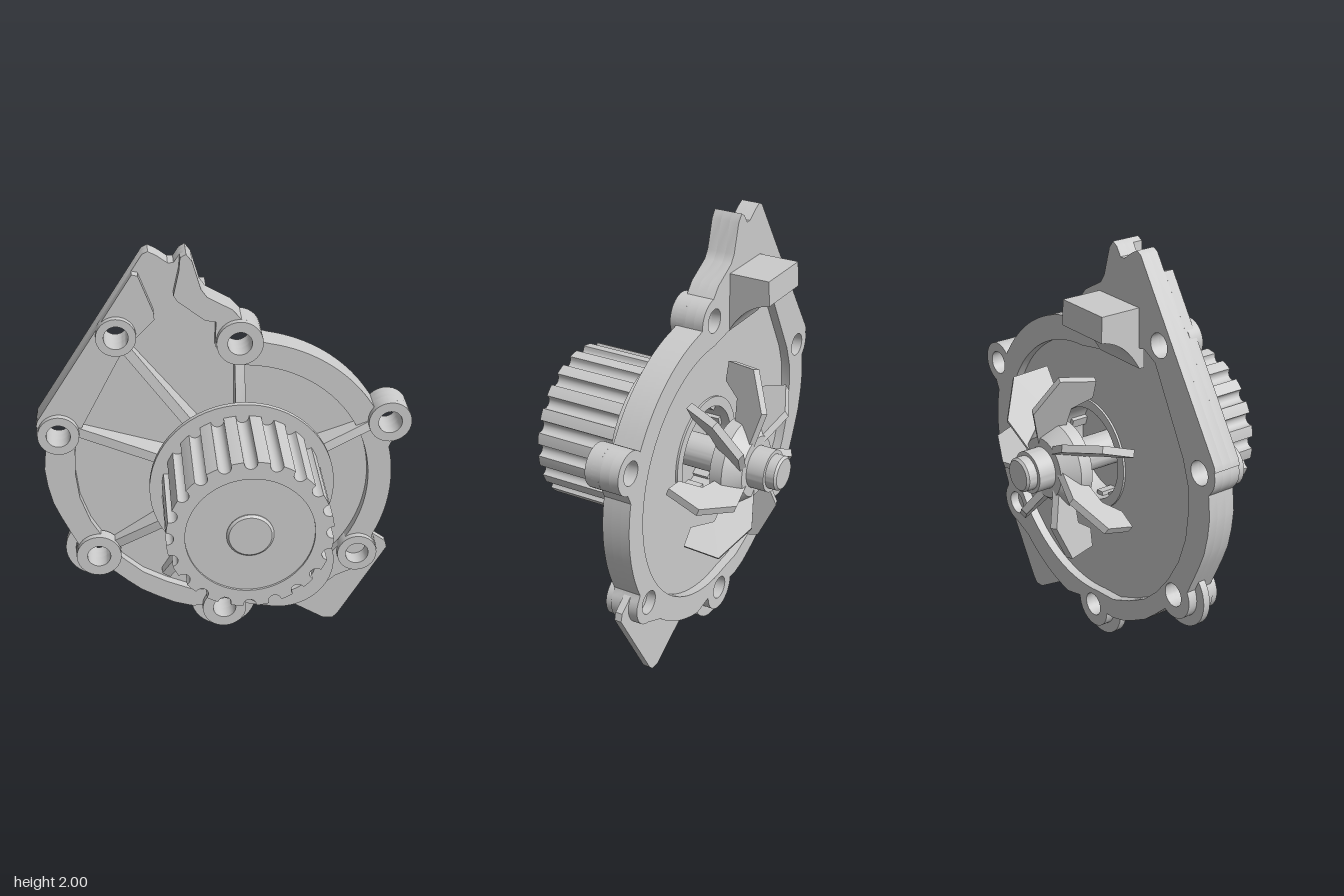
import * as THREE from 'three';
import { toCreasedNormals } from 'three/addons/utils/BufferGeometryUtils.js';

const CX = 0.07, CY = 0.92;   // shaft axis
const mat = new THREE.MeshStandardMaterial({ color: 0xcccccc, side: THREE.DoubleSide });

function add(parent, name, geo) {
  const mesh = new THREE.Mesh(toCreasedNormals(geo, 0.6), mat);
  mesh.name = name;
  parent.add(mesh);
  return mesh;
}

// points on an arc, angles in degrees
function arc(cx, cy, r, a0, a1, n = 16) {
  return Array.from({ length: n + 1 }, (_, i) => {
    const a = THREE.MathUtils.degToRad(a0 + (a1 - a0) * i / n);
    return [cx + r * Math.cos(a), cy + r * Math.sin(a)];
  });
}
const toVecs = pts => pts.map(p => new THREE.Vector2(p[0], p[1]));
const circle = (x, y, r, n = 32) => new THREE.Path(toVecs(arc(x, y, r, 0, 360, n).slice(0, -1)));

// flat slab from z0 to z1 with holes
function slab(pts, z0, z1, holes = []) {
  const shape = new THREE.Shape(toVecs(pts));
  shape.holes.push(...holes);
  return new THREE.ExtrudeGeometry(shape, { depth: z1 - z0, bevelEnabled: false }).translate(0, 0, z0);
}

// turned part around the z axis, profile of [radius, z]
const turned = (pts, n = 64) => new THREE.LatheGeometry(toVecs(pts), n).rotateX(Math.PI / 2);

// upright fin: profile of [x, z], thickness across y
const fin = (pts, t) => slab(pts, -t / 2, t / 2).rotateX(Math.PI / 2);

// bolt bosses: x, y, radius
const BOSSES = [[-0.48, 1.627, 0.09], [0.07, 1.58, 0.105], [0.767, 1.156, 0.1], [0.64, 0.445, 0.095],
  [0, 0.161, 0.106], [-0.598, 0.49, 0.106], [-0.757, 1.146, 0.095]];
const HOLE = 0.055;
const boltHoles = () => BOSSES.map(b => circle(b[0], b[1], HOLE));

// outer outline, clockwise from the second peak round to the first
const OUTER = [
  [-0.19, 1.985], [-0.164, 2], [-0.138, 1.966], [-0.1, 1.833], [-0.074, 1.796], [0.037, 1.733],
  ...arc(0.07, 1.58, 0.105, 85, -5, 8),
  ...arc(0.07, 0.85, 0.725, 79, 35),
  ...arc(0.767, 1.156, 0.1, 138, -75),
  ...arc(0.07, 0.85, 0.72, 13, -27),
  ...arc(0.64, 0.445, 0.1, 40, -85, 10),
  ...arc(0.07, 0.85, 0.725, -49, -79, 10),
  ...arc(0, 0.161, 0.108, 0, -180),
  [-0.154, 0.16], [-0.24, 0.185], [-0.32, 0.225], [-0.4, 0.27], [-0.466, 0.325],
  ...arc(-0.598, 0.49, 0.11, -60, -210),
  [-0.73, 0.62], [-0.77, 0.706], [-0.8, 0.78], [-0.82, 0.87], [-0.83, 0.96], [-0.82, 1.066],
  ...arc(-0.757, 1.146, 0.1, -140, -200, 6),
  [-0.857, 1.183], [-0.85, 1.21],
];
const PEAK = [[-0.354, 1.987], [-0.328, 2], [-0.29, 1.98], [-0.243, 1.945], [-0.217, 1.945]];
// wall of the pocket inside the rim
const POCKET = [
  ...arc(0.07, 0.85, 0.61, 90, -100, 48),
  [-0.16, 0.26], [-0.28, 0.31], [-0.39, 0.37], [-0.48, 0.45], [-0.56, 0.55], [-0.63, 0.67],
  [-0.675, 0.8], [-0.69, 0.93], [-0.685, 1.06], [-0.65, 1.17], [-0.455, 1.543],
];

function buildCover(g) {
  const cover = new THREE.Group();
  cover.name = 'cover';
  g.add(cover);
  const backPocket = new THREE.Path(toVecs([...POCKET, [-0.38, 1.58], [-0.25, 1.56], [-0.1, 1.49]]));
  add(cover, 'backRim', slab([...OUTER, ...PEAK], -0.178, -0.134, [...boltHoles(), backPocket]));
  add(cover, 'coverFloor', slab([...OUTER, ...PEAK], -0.135, -0.09, [...boltHoles(), circle(CX, CY, 0.24)]));
  // front rim is open at the top, where the channel leaves between the peaks
  const channel = [[-0.307, 1.696], [-0.31, 1.73], [-0.375, 1.905], [-0.402, 1.912]];
  const back = [[-0.196, 1.923], [-0.222, 1.807], [-0.205, 1.78], [-0.085, 1.685], [-0.035, 1.675], [-0.04, 1.56], [0, 1.49]];
  const rim = [...OUTER, ...channel.reverse(), ...[...POCKET].reverse(), ...back.reverse()];
  add(cover, 'frontRim', slab(rim, -0.09, -0.045, boltHoles()));

  for (const [x, y, r] of BOSSES)
    add(cover, 'boltBoss', slab(arc(x, y, r, 0, 360, 32).slice(0, -1), -0.08, -0.015, [circle(x, y, HOLE)]));
  // thin lips around the two lower bosses
  for (const [x, y] of [BOSSES[4], BOSSES[5]])
    add(cover, 'bossLip', slab(arc(x, y, 0.158, 0, 360, 40).slice(0, -1), -0.134, -0.1, [circle(x, y, HOLE)]));
  // thin corner tab
  add(cover, 'cornerTab', slab([[0.7, 0.52], [0.79, 0.455], [0.8, 0.42], [0.57, 0.035], [0.545, 0.012], [0.5, 0.015],
    [0.27, 0.155], [0.18, 0.15], [0.25, 0.2], [0.55, 0.42]], -0.134, -0.1, [circle(0.64, 0.445, HOLE)]));

  // sloping ribs from the hub: target x, y
  for (const [x, y] of [[-0.44, 1.56], [0.07, 1.5], [0.68, 1.13], [-0.67, 1.15], [-0.51, 0.54], [-0.28, 0.35], [0, 0.27]]) {
    const len = Math.hypot(x - CX, y - CY);
    const rib = add(cover, 'rib', fin([[0.2, -0.1], [0.2, 0.06], [0.27, 0.06], [len, -0.04], [len, -0.1]], 0.045));
    rib.position.set(CX, CY, 0);
    rib.rotation.z = Math.atan2(y - CY, x - CX);
  }
  // round socket below the hub
  add(cover, 'socket', turned([[0.25, -0.1], [0.25, 0.065], [0.165, 0.065], [0.16, 0], [0.15, -0.02], [0.13, -0.03], [0, -0.03]]))
    .position.set(0.265, 0.46, 0);
  // curved flow guide on the back
  const guide = new THREE.Shape();
  guide.moveTo(0.15, 1.755);
  guide.lineTo(0.37, 1.755);
  guide.lineTo(0.375, 1.64);
  guide.quadraticCurveTo(0.25, 1.62, 0.175, 1.48);
  guide.lineTo(0.15, 1.48);
  add(cover, 'flowGuide', new THREE.ExtrudeGeometry(guide, { depth: 0.28, bevelEnabled: false, curveSegments: 12 })
    .rotateY(Math.PI / 2).translate(-0.345, 0, 0));
}

function buildPulley(axis) {
  // toothed rim with rounded grooves
  const teeth = 20, R = 0.368, step = 360 / teeth, pts = [];
  for (let i = 0; i < teeth; i++) {
    const a = i * step, rad = THREE.MathUtils.degToRad(a);
    pts.push(...arc(0, 0, R, a - step * 0.74, a - step * 0.26, 4));
    pts.push(...arc(R * Math.cos(rad) * 0.985, R * Math.sin(rad) * 0.985, 0.029, a - 90, a - 270, 8));
  }
  add(axis, 'toothedPulley', slab(pts, 0.1, 0.535, [circle(0, 0, 0.285, 64)]));
  add(axis, 'pulleyFace', turned([[0.29, 0.4], [0.29, 0.525], [0, 0.525]]));
  add(axis, 'pulleyFlange', turned([[0, 0.09], [0.423, 0.09], [0.423, 0.115], [0, 0.115]]));
  add(axis, 'frontShaft', turned([[0.104, 0.5], [0.104, 0.53], [0.094, 0.54], [0, 0.54]]));
}

function buildImpeller(axis) {
  add(axis, 'impellerHub', turned([[0, -0.537], [0.07, -0.537], [0.08, -0.527], [0.08, -0.485], [0.098, -0.485],
    [0.098, -0.4], [0.14, -0.4], [0.2, -0.33], [0.2, -0.27], [0.08, -0.27], [0.08, -0.02]]));
  // swept and tilted blades
  const profile = [[0, -0.3], [0, -0.4], [0.17, -0.45], [0.35, -0.355], [0.35, -0.19], [0.26, -0.19], [0.2, -0.28]];
  for (let i = 0; i < 7; i++) {
    const arm = new THREE.Group();
    arm.name = 'blade';
    arm.rotation.z = THREE.MathUtils.degToRad(-20 + i * 360 / 7);
    const blade = add(arm, 'bladePlate', fin(profile, 0.035).translate(0, 0, 0.3).rotateX(-0.36).translate(0, 0, -0.3));
    blade.position.x = 0.1;
    blade.rotation.z = 0.42;
    axis.add(arm);
  }
}

export function createModel() {
  const g = new THREE.Group();
  g.name = 'waterPump';
  buildCover(g);
  const axis = new THREE.Group();
  axis.name = 'rotatingParts';
  axis.position.set(CX, CY, 0);
  g.add(axis);
  // bearing housing, open at the back
  add(axis, 'bearingHousing', turned([[0, -0.02], [0.22, -0.02], [0.22, -0.145], [0.265, -0.145], [0.265, 0.095]]));
  buildPulley(axis);
  buildImpeller(axis);
  return g;
}
